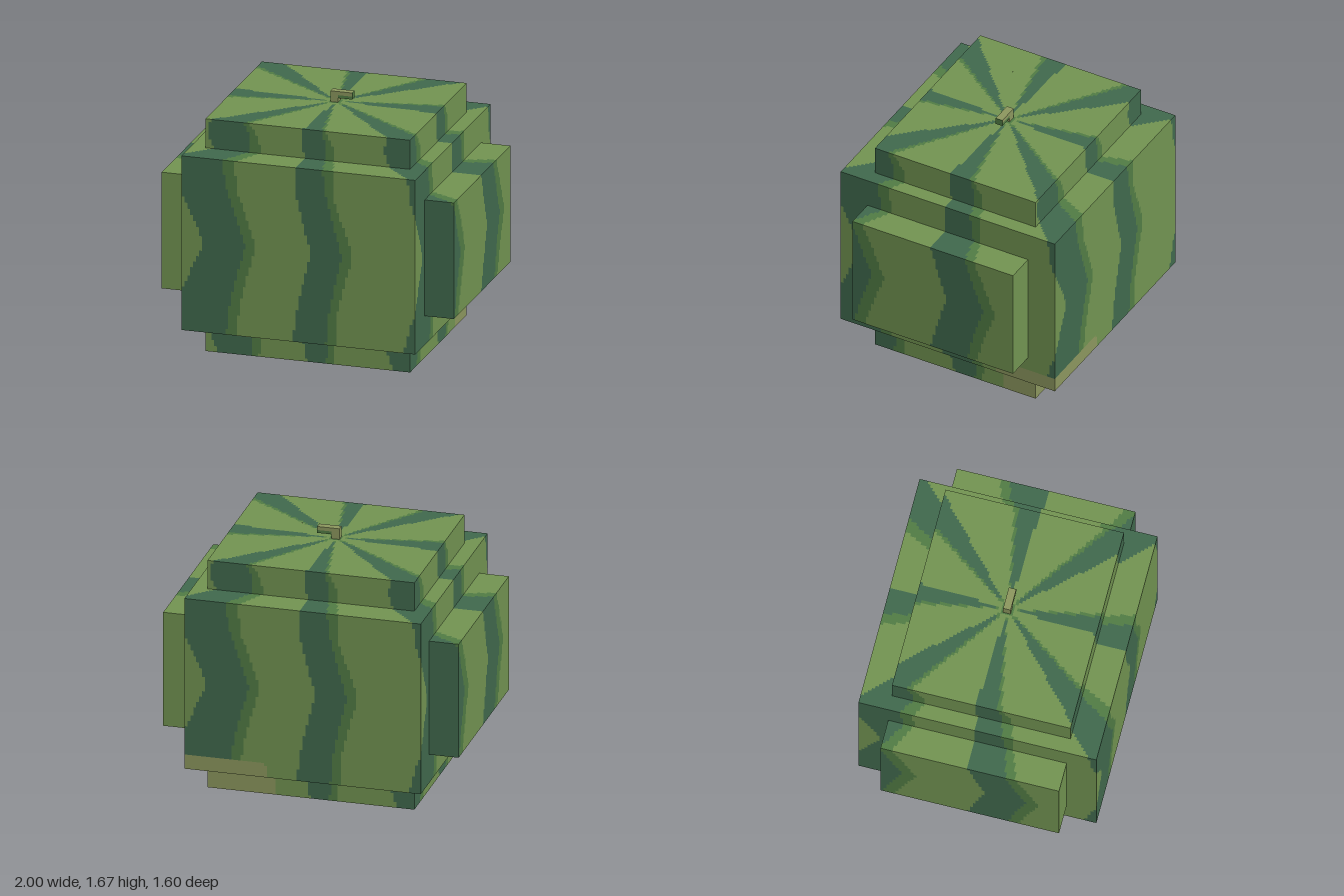
import * as THREE from 'three';

const mat = (name, color) => Object.assign(new THREE.MeshStandardMaterial({ color }), { name });
const STEP = 0.02;

// Melon body: three interlocking blocks, each given as [min, max]
const BLOCKS = {
  tallBlock: [[-0.7, 0, -0.6], [0.7, 1.6, 0.6]],
  middleBlock: [[-0.8, 0.2, -0.8], [0.8, 1.4, 0.8]],
  wideBlock: [[-1, 0.4, -0.6], [1, 1.2, 0.6]],
};

// Stripe edges in degrees by height: [y, dark start, dark end, fringe end]
const STRIPE = [
  [0, -0.5, 12, 16], [0.15, -3.5, 13, 17.5], [0.4, -1, 14.5, 18], [0.6, 2, 17, 21],
  [0.82, 6, 20.5, 25], [1, 2.5, 17, 21.5], [1.2, -1, 13.5, 17], [1.4, -2, 11.5, 16.5],
  [1.5, -4, 11.5, 16], [1.6, -3, 9, 11],
];

function stripeAt(y) {
  let i = 1;
  while (i < STRIPE.length - 1 && STRIPE[i][0] < y) i++;
  const a = STRIPE[i - 1], b = STRIPE[i];
  const t = THREE.MathUtils.clamp((y - a[0]) / (b[0] - a[0]), 0, 1);
  return [1, 2, 3].map((k) => THREE.MathUtils.lerp(a[k], b[k], t));
}

// Pale resting patch around the lower back corner, with a rounded top edge
function inPatch(x, y, z) {
  if (y > 0.3 || x < 0.24 || z > -0.37) return false;
  const r = 0.05;
  const du = Math.max(0, r - Math.min(x - 0.24, -0.37 - z)), dv = Math.max(0, y - (0.3 - r));
  return du * du + dv * dv <= r * r;
}

// Colour index: 0 light, 1 fringe, 2 dark, 3 pale
function rind([x, y, z], axis, sign) {
  const underside = axis === 1 && sign < 0;
  if (!underside && inPatch(x, y, z)) return 3;
  const radius = Math.hypot(x, z);
  if (axis === 1 && radius < 0.05) return underside ? 2 : 1;
  const [start, end, fringe] = stripeAt(y);
  const degrees = THREE.MathUtils.radToDeg(Math.atan2(x, z));
  const local = THREE.MathUtils.euclideanModulo(degrees - start, 45);
  if (local < end - start) return axis === 1 && radius < 0.09 ? 1 : 2;
  if (local < fringe - start) return underside ? 3 : 1;
  return underside ? 3 : 0;
}

// True when a point is buried in another block
const buried = (p, self) => Object.values(BLOCKS).some((b) =>
  b !== self && p.every((c, k) => c > b[0][k] + 1e-4 && c < b[1][k] - 1e-4));

// Six faces of a block, cut into strips of equal colour
function rindGeometry(block) {
  const [min, max] = block;
  const lists = [[], [], [], []];
  for (let axis = 0; axis < 3; axis++) for (const sign of [-1, 1]) {
    const u = (axis + 1) % 3, v = (axis + 2) % 3;
    const point = (a, b) => {
      const p = [0, 0, 0];
      p[axis] = sign > 0 ? max[axis] : min[axis];
      p[u] = min[u] + a * STEP;
      p[v] = min[v] + b * STEP;
      return p;
    };
    const nu = Math.round((max[u] - min[u]) / STEP), nv = Math.round((max[v] - min[v]) / STEP);
    for (let j = 0; j < nv; j++) {
      let from = 0, current = -1;
      for (let i = 0; i <= nu; i++) {
        let next = -1;
        if (i < nu) {
          const p = point(i + 0.5, j + 0.5);
          if (!buried(p, block)) next = rind(p, axis, sign);
        }
        if (next === current) continue;
        if (current >= 0) {
          const [a, b, c, d] = [point(from, j), point(i, j), point(i, j + 1), point(from, j + 1)];
          const corners = sign > 0 ? [a, b, c, a, c, d] : [a, c, b, a, d, c];
          lists[current].push(...corners.flat());
        }
        from = i;
        current = next;
      }
    }
  }
  const geometry = new THREE.BufferGeometry();
  let start = 0;
  lists.forEach((list, k) => {
    geometry.addGroup(start, list.length / 3, k);
    start += list.length / 3;
  });
  geometry.setAttribute('position', new THREE.Float32BufferAttribute(lists.flat(), 3));
  geometry.computeVertexNormals();
  return geometry;
}

export function createModel() {
  const light = mat('light green rind', 0x739552);
  const fringe = mat('mid green fringe', 0x527d45);
  const dark = mat('dark green stripe', 0x416a4e);
  const pale = mat('pale tan', 0x8d985f);

  const model = new THREE.Group();
  model.name = 'blockMelon';
  for (const [name, block] of Object.entries(BLOCKS)) {
    const mesh = new THREE.Mesh(rindGeometry(block), [light, fringe, dark, pale]);
    mesh.name = name;
    model.add(mesh);
  }

  // Bent stem
  const stem = new THREE.Group();
  stem.name = 'stem';
  const addBar = (name, material, x0, x1, y0, y1) => {
    const bar = new THREE.Mesh(new THREE.BoxGeometry(x1 - x0, y1 - y0, 0.05), material);
    bar.position.set((x0 + x1) / 2, (y0 + y1) / 2, 0);
    bar.name = name;
    stem.add(bar);
  };
  addBar('stemUpright', pale, -0.03, 0.022, 1.6, 1.675);
  addBar('stemArmTop', pale, 0.022, 0.117, 1.65, 1.675);
  addBar('stemArmUnderside', fringe, 0.022, 0.117, 1.63, 1.65);
  addBar('stemTip', fringe, 0.117, 0.12, 1.63, 1.675);
  model.add(stem);
  return model;
}
